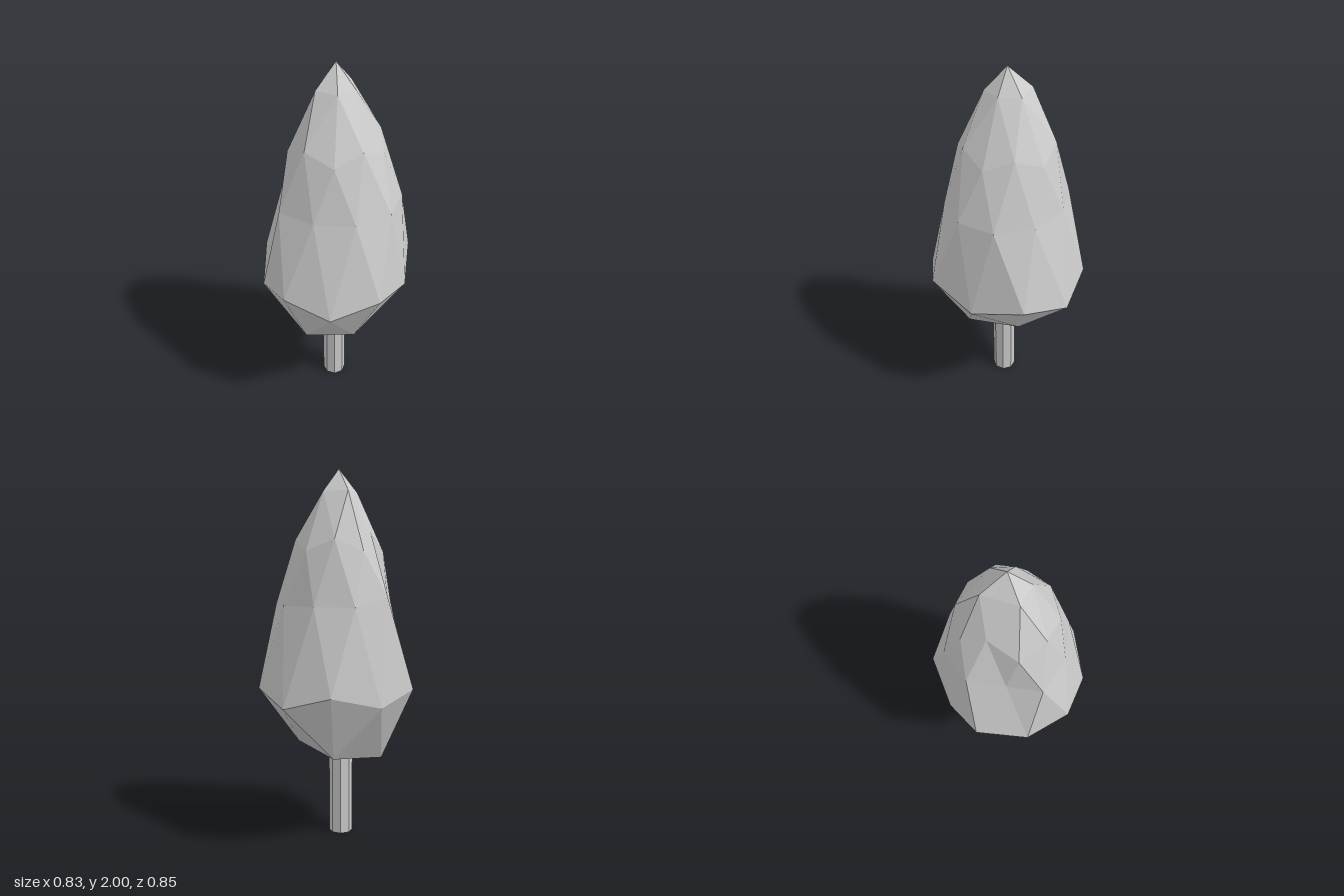
import * as THREE from 'three';

// Foliage rings from top to bottom: [x, y, z], angle running from +x towards +z
const TIP = [0.01, 2, 0];
const CAP = [[0.105, 1.88, 0], [0.055, 1.88, 0.1], [-0.06, 1.88, 0.09], [-0.08, 1.88, -0.09], [0.055, 1.88, -0.1]];
const UPPER = [
  [0.26, 1.57, 0], [0.2, 1.63, 0.14], [0.09, 1.57, 0.24], [-0.065, 1.63, 0.23], [-0.19, 1.57, 0.145],
  [-0.18, 1.66, -0.02], [-0.19, 1.57, -0.15], [-0.065, 1.63, -0.23], [0.09, 1.57, -0.24], [0.2, 1.63, -0.14],
];
const MIDDLE = [
  [0.34, 1.29, 0.1], [0.21, 1.29, 0.26], [0.01, 1.29, 0.32], [-0.19, 1.29, 0.28], [-0.235, 1.29, 0.1],
  [-0.3, 1.33, -0.085], [-0.19, 1.29, -0.26], [0.01, 1.29, -0.32], [0.21, 1.29, -0.26], [0.34, 1.29, -0.1],
];
const WIDEST = [
  [0.415, 0.78, 0], [0.355, 0.85, 0.275], [0.135, 0.78, 0.425], [-0.12, 0.85, 0.425], [-0.315, 0.78, 0.265],
  [-0.415, 0.85, 0], [-0.315, 0.78, -0.21], [-0.12, 0.85, -0.405], [0.135, 0.78, -0.425], [0.355, 0.85, -0.28],
];
const BASE = [[0.18, 0.46, 0.16], [-0.07, 0.46, 0.26], [-0.24, 0.46, 0], [-0.07, 0.5, -0.26], [0.18, 0.55, -0.16]];
const BOTTOM = [0.01, 0.43, 0.01];

function foliageGeometry() {
  const points = [];
  const tri = (a, b, c) => points.push(...a, ...b, ...c);
  const at = (ring, i) => ring[(i + ring.length) % ring.length];

  // Five-sided top and bottom, each fanning out to a ring of ten
  for (let i = 0; i < 5; i++) {
    const a = CAP[i], a2 = at(CAP, i + 1), k = 2 * i;
    tri(TIP, a2, a);
    tri(a, a2, at(UPPER, k + 1));
    tri(a, at(UPPER, k + 1), at(UPPER, k));
    tri(a, at(UPPER, k), at(UPPER, k - 1));

    const e = BASE[i], e2 = at(BASE, i + 1);
    tri(BOTTOM, e, e2);
    tri(e, at(WIDEST, k + 2), e2);
    tri(e, at(WIDEST, k + 1), at(WIDEST, k + 2));
    tri(e, at(WIDEST, k), at(WIDEST, k + 1));
  }

  // Zigzag bands above and below the middle ring
  for (let j = 0; j < 10; j++) {
    const c = MIDDLE[j], c0 = at(MIDDLE, j - 1);
    tri(UPPER[j], at(UPPER, j + 1), c);
    tri(UPPER[j], c, c0);
    tri(WIDEST[j], c, at(WIDEST, j + 1));
    tri(WIDEST[j], c0, c);
  }

  const geometry = new THREE.BufferGeometry();
  geometry.setAttribute('position', new THREE.Float32BufferAttribute(points, 3));
  geometry.computeVertexNormals();
  return geometry;
}

export function createModel() {
  const tree = new THREE.Group();
  tree.name = 'tree';
  const material = new THREE.MeshStandardMaterial({ color: 0xcccccc, flatShading: true });

  // Faceted crown
  const foliage = new THREE.Mesh(foliageGeometry(), material);
  foliage.name = 'foliage';
  tree.add(foliage);

  // Octagonal trunk, flat side to the front
  const height = 0.47;
  const trunk = new THREE.Mesh(new THREE.CylinderGeometry(0.065, 0.065, height, 8), material);
  trunk.name = 'trunk';
  trunk.rotation.y = Math.PI / 8;
  trunk.position.set(0.01, height / 2, 0.025);
  tree.add(trunk);

  return tree;
}
